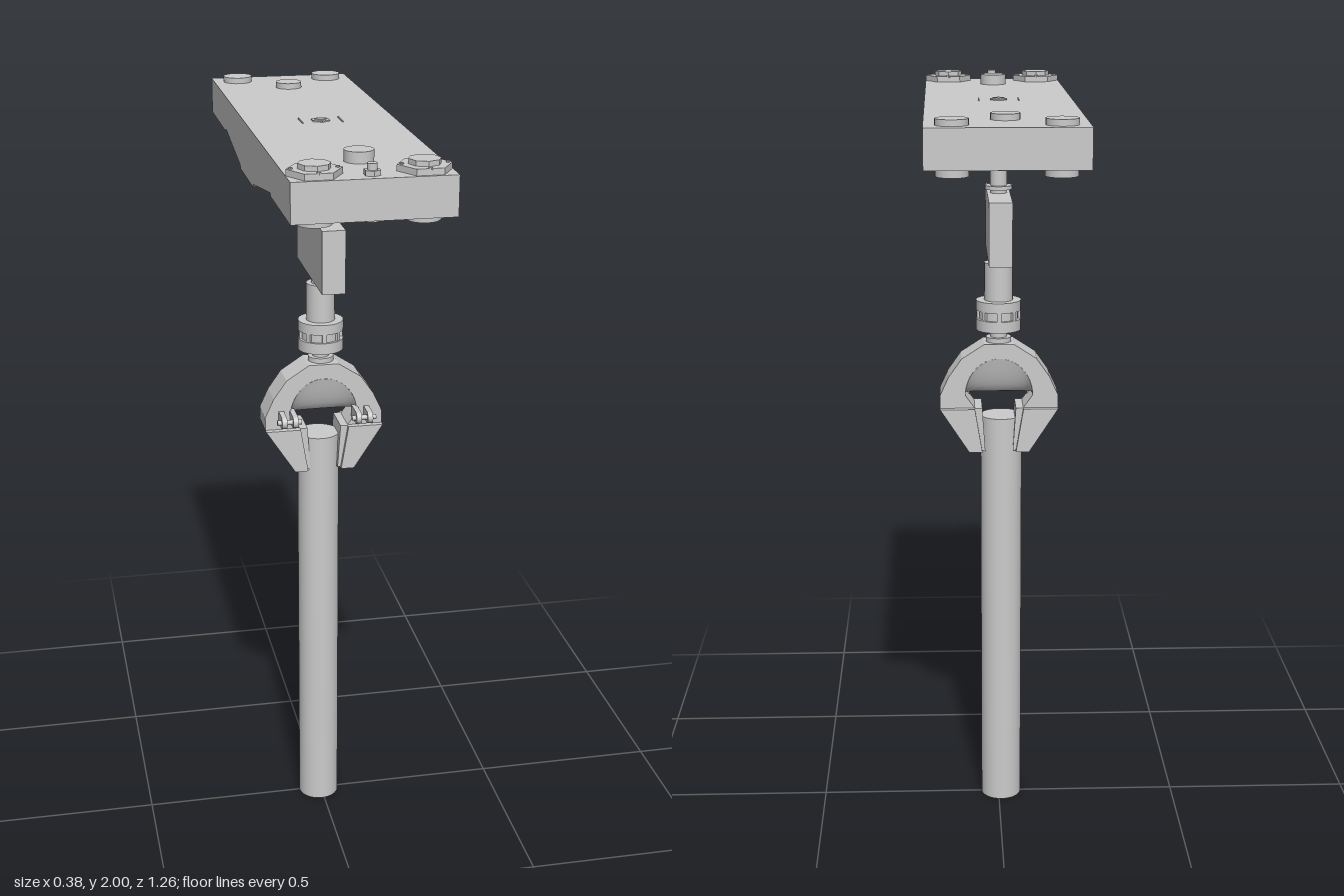
import * as THREE from 'three';

const smooth = new THREE.MeshStandardMaterial({ color: 0xcccccc });
const flat = new THREE.MeshStandardMaterial({ color: 0xcccccc, flatShading: true });
const open = new THREE.MeshStandardMaterial({ color: 0xcccccc, side: THREE.DoubleSide });

export function createModel() {
  const model = new THREE.Group();

  const add = (name, geometry, material = flat, x = 0, y = 0, z = 0) => {
    const mesh = new THREE.Mesh(geometry, material);
    mesh.name = name;
    mesh.position.set(x, y, z);
    model.add(mesh);
    return mesh;
  };
  // Upright cylinder between two heights
  const post = (name, r, y0, y1, x = 0, z = 0, sides = 24, rBottom = r) =>
    add(name, new THREE.CylinderGeometry(r, rBottom, y1 - y0, sides),
      sides > 8 ? smooth : flat, x, (y0 + y1) / 2, z);
  const polygon = (pts) => new THREE.Shape(pts.map(([a, b]) => new THREE.Vector2(a, b)));
  // Extrusion centred on its depth
  const slab = (shape, depth) =>
    new THREE.ExtrudeGeometry(shape, { depth, bevelEnabled: false, curveSegments: 16 })
      .translate(0, 0, -depth / 2);
  // Side profile (z, y) extruded across x
  const across = (shape, width) => slab(shape, width).rotateY(-Math.PI / 2);

  // Top plate with a tapered underside
  const half = [[0.1, 1.836], [0.11, 1.845], [0.36, 1.885], [0.37, 1.878], [0.632, 1.878], [0.632, 1.973]];
  const mirrored = half.map(([z, y]) => [-z, y]).reverse();
  add('topPlate', across(polygon([...half, ...mirrored]), 0.38));

  // Plate fasteners
  for (const s of [-1, 1]) {
    const x = s * 0.125;
    post('flangeNut', 0.064, 1.973, 1.988, x, 0.57, 6).rotation.y = Math.PI / 6;
    post('nutHead', 0.038, 1.988, 2, x, 0.57, 8);
    post('nutTail', 0.04, 1.862, 1.88, x, 0.57);
    for (let i = 0; i < 4; i++) {
      const a = i * Math.PI / 2;
      post('flangePin', 0.005, 1.985, 1.991, x + 0.053 * Math.cos(a), 0.57 + 0.053 * Math.sin(a), 8);
    }
    post('rearBolt', 0.039, 1.858, 1.988, x, -0.572);
    add('slotMark', new THREE.BoxGeometry(0.003, 0.004, 0.06), flat, s * 0.051, 1.974, 0);
  }
  post('frontCentreBolt', 0.035, 1.862, 2, 0, 0.455);
  post('rearCentreBolt', 0.035, 1.858, 1.988, 0, -0.46);
  post('smallStud', 0.02, 1.87, 1.985, 0, 0.595, 6);
  post('smallStudTip', 0.012, 1.985, 2, 0, 0.595, 12);
  post('centreHex', 0.025, 1.965, 1.976, 0, 0, 6);
  post('centreHexTip', 0.016, 1.97, 1.979, 0, 0, 4);

  // Pin, washer and mounting block
  post('pin', 0.022, 1.73, 1.812);
  post('pinWasher', 0.036, 1.745, 1.755);
  add('block', new THREE.BoxGeometry(0.06, 0.164, 0.35), flat, 0, 1.653, 0);

  // Swivel joint
  post('upperNeck', 0.025, 1.548, 1.575);
  post('sleeve', 0.038, 1.44, 1.552);
  post('collarTop', 0.06, 1.425, 1.452);
  post('collarGroove', 0.052, 1.4, 1.427);
  post('collarBottom', 0.06, 1.372, 1.402);
  for (let i = 0; i < 8; i++) {
    const a = i * Math.PI / 4;
    add('collarRib', new THREE.BoxGeometry(0.012, 0.03, 0.012), flat,
      0.052 * Math.sin(a), 1.413, 0.052 * Math.cos(a)).rotation.y = a;
  }
  post('lowerNeck', 0.022, 1.335, 1.375);
  post('neckRing', 0.034, 1.338, 1.352);

  // Horseshoe clamp body
  const body = polygon([[0.04, 1.339], [-0.04, 1.339], [-0.1, 1.3], [-0.135, 1.25],
    [-0.158, 1.2], [-0.158, 1.165], [-0.08, 1.047], [-0.045, 1.047], [-0.065, 1.165], [-0.09, 1.2]]);
  body.absellipse(0, 1.2, 0.09, 0.1, Math.PI, 0, true, 0);
  [[0.065, 1.165], [0.045, 1.047], [0.08, 1.047], [0.158, 1.165], [0.158, 1.2],
    [0.135, 1.25], [0.1, 1.3]].forEach(([x, y]) => body.lineTo(x, y));
  add('clampBody', slab(body, 0.09));

  // Saddle web closing the arch, lowest at mid depth
  const web = new THREE.PlaneGeometry(1, 1, 20, 12);
  const p = web.attributes.position;
  for (let i = 0; i < p.count; i++) {
    const a = (p.getX(i) + 0.5) * Math.PI;
    const v = p.getY(i) * 2;
    p.setXYZ(i, -0.09 * Math.cos(a), 1.2 + 0.1 * Math.sin(a) * v * v, 0.045 * v);
  }
  web.computeVertexNormals();
  add('clampWeb', web, open);

  // Jaws, grips and side links
  for (const s of [-1, 1]) {
    const jaw = [[-0.158, 1.165], [-0.08, 1.045], [-0.045, 1.045], [-0.065, 1.165]];
    const grip = [[-0.065, 1.165], [-0.075, 1.06], [-0.037, 1.045], [-0.045, 1.165]];
    const flip = (pts) => polygon(pts.map(([x, y]) => [s * x, y]));
    add('jaw', slab(flip(jaw), 0.122));
    add('jawGrip', slab(flip(grip), 0.1));

    const link = new THREE.Shape();
    link.absarc(0.088, 1.2, 0.016, -Math.PI / 2, Math.PI / 2, false);
    link.lineTo(0.03, 1.216);
    link.lineTo(0.03, 1.184);
    const eye = new THREE.Path();
    eye.absarc(0.088, 1.2, 0.007, 0, Math.PI * 2, true);
    link.holes.push(eye);
    for (const x of [0.085, 0.115])
      add('linkPlate', across(link, 0.014), flat, s * x);
    const pin = add('linkPin', new THREE.CylinderGeometry(0.007, 0.007, 0.065, 12), smooth, s * 0.1, 1.2, 0.088);
    pin.rotation.z = Math.PI / 2;
  }

  // Pole
  post('pole', 0.056, 0, 1.135, -0.007, 0.002, 32);

  return model;
}
